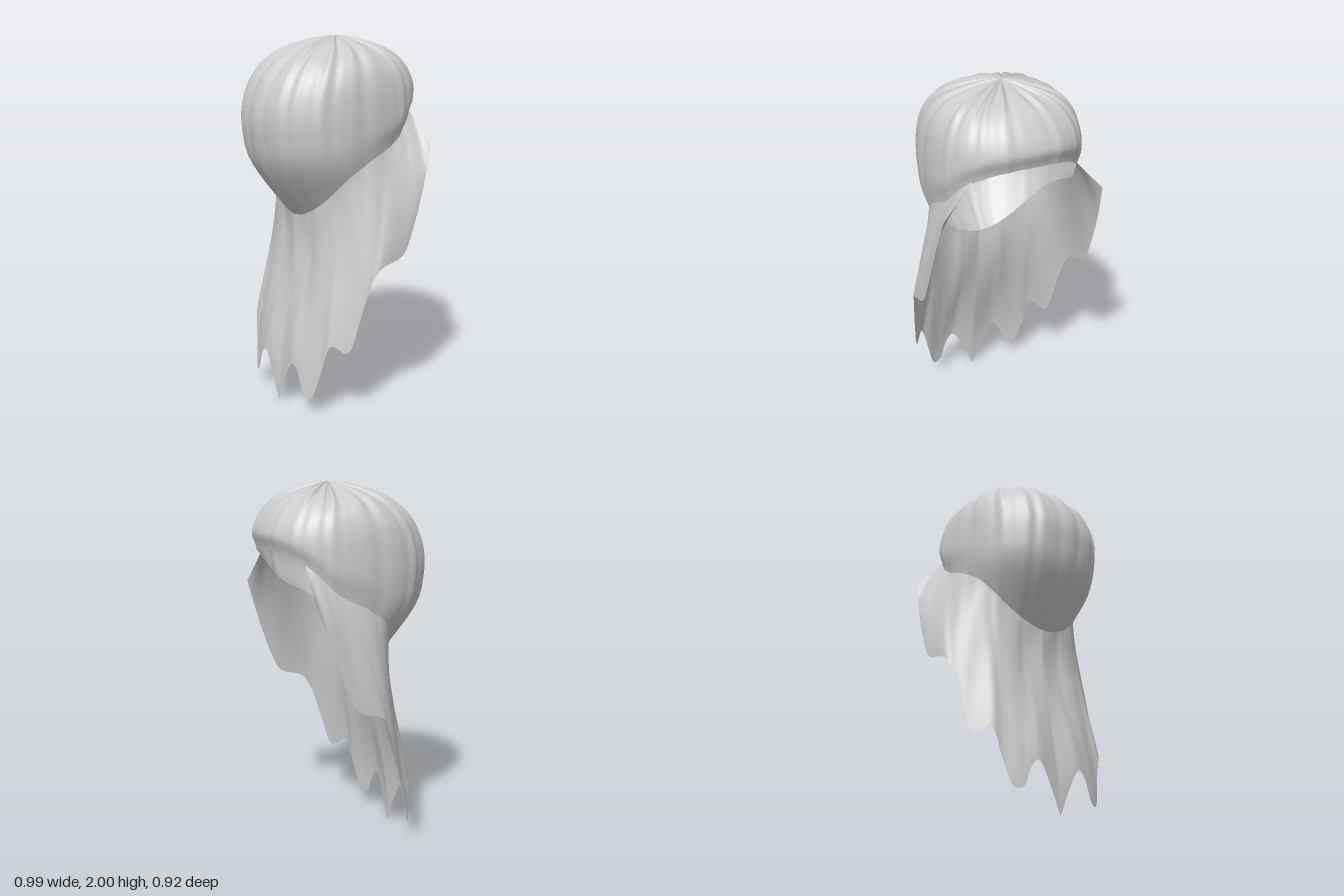
import * as THREE from 'three';
import { mergeVertices } from 'three/addons/utils/BufferGeometryUtils.js';

// Smooth lookup through a few key values
const spline = (keys, values) => {
  const s = new THREE.CubicInterpolant(new Float32Array(keys), new Float32Array(values), 1, new Float32Array(1));
  return (t) => s.evaluate(t)[0];
};

// Hood radii against s, where height = 2 - s * s
const S = [0, 0.14, 0.26, 0.39, 0.5, 0.63, 0.71, 0.81, 0.89, 0.98, 1.05];
const frontRadius = spline(S, [0, 0.16, 0.295, 0.41, 0.48, 0.525, 0.52, 0.485, 0.405, 0.27, 0.16]);
const sideRadius = spline(S, [0, 0.13, 0.265, 0.345, 0.38, 0.395, 0.395, 0.38, 0.34, 0.27, 0.2]);
const backRadius = spline(S, [0, 0.12, 0.24, 0.335, 0.385, 0.385, 0.38, 0.36, 0.32, 0.26, 0.2]);
// Height of the slanted opening against z
const rimHeight = spline([-0.6, -0.45, -0.35, -0.2, 0, 0.13, 0.2, 0.3], [1.72, 1.66, 1.59, 1.445, 1.335, 1.2, 0.98, 0.6]);
const CROWN_Z = -0.07;

const { lerp, smoothstep: smooth } = THREE.MathUtils;
const power = (a, e) => Math.sign(a) * Math.abs(a) ** e;

// Boxy cross-section that turns elliptical toward the chin
function hoodSurface(theta, s) {
  const c = Math.cos(theta);
  const e = lerp(0.8, 1.12, smooth(s, 0.75, 0.98));
  const depth = c > 0 ? frontRadius(s) : backRadius(s);
  return new THREE.Vector3(sideRadius(s) * power(Math.sin(theta), e), 2 - s * s, CROWN_Z + depth * power(c, e));
}

// Where a meridian of the hood meets the opening
function rimParameter(theta) {
  let lo = 0.3, hi = 1.05;
  for (let i = 0; i < 18; i++) {
    const mid = (lo + hi) / 2;
    const p = hoodSurface(theta, mid);
    if (p.y > rimHeight(p.z)) lo = mid; else hi = mid;
  }
  return lo;
}

// Pleated hood point, v = 0 at the crown and 1 at the opening
function hoodPoint(theta, v) {
  const p = hoodSurface(theta, rimParameter(theta) * v);
  const pleat = 0.65 * Math.cos(20 * theta) + 0.35 * Math.cos(33 * theta);
  const depth = 0.016 * smooth(v, 0, 0.3) * (1 - 0.6 * smooth(v, 0.45, 0.95));
  const curl = 0.06 * smooth(v, 0.87, 1) * smooth(-Math.cos(theta), -0.6, 0.3);
  const scale = 1 + depth * (pleat - 0.2) - curl;
  p.x *= scale;
  p.z = CROWN_Z + (p.z - CROWN_Z) * scale;
  p.y -= 0.009 * (1 - pleat) * Math.sin(Math.PI * Math.min(1, v * 1.8));
  return p;
}

// Scalloped hem from the front centre round to the rear corner
const hem = new THREE.CatmullRomCurve3([
  [0, 0, 0.325], [0.07, 0.16, 0.325], [0.135, 0.26, 0.325], [0.18, 0.22, 0.32],
  [0.225, 0.11, 0.315], [0.27, 0.1, 0.3], [0.32, 0.25, 0.265], [0.37, 0.41, 0.235],
  [0.425, 0.37, 0.17], [0.455, 0.55, 0.11], [0.475, 0.74, 0.05], [0.492, 0.82, 0],
  [0.494, 0.87, -0.14], [0.488, 1.0, -0.21], [0.475, 1.22, -0.29], [0.45, 1.43, -0.358],
].map((p) => new THREE.Vector3(...p)));

function capePoint(u, v) {
  const a = Math.abs(u);
  const top = hoodPoint(a * THREE.MathUtils.degToRad(134), 0.985);
  const end = hem.getPoint(a);
  // flanks flare out below the opening, the rear edge stays straight
  const flare = 1 + 0.9 * smooth(a, 0.45, 0.78) * (1 - smooth(a, 0.87, 1));
  const p = new THREE.Vector3(
    lerp(top.x, end.x, 1 - (1 - v) ** flare),
    lerp(top.y, end.y, v),
    lerp(top.z, end.z, lerp(smooth(v, 0.1, 1), v, smooth(a, 0.2, 0.7))),
  );
  // hanging folds, with the valleys set back
  const wave = Math.cos((a * Math.PI * 2) / 0.31) - 1;
  const fold = 0.012 * wave * Math.sin(Math.PI * v ** 0.8) * (1 - smooth(a, 0.6, 0.85));
  const turn = a * 1.9;
  p.x += fold * Math.sin(turn);
  p.z += fold * Math.cos(turn);
  if (u < 0) p.x = -p.x;
  return p;
}

// Grid surface from a rule, u across and v downward
function sheet(point, nu, nv) {
  const positions = [], index = [];
  for (let j = 0; j <= nv; j++) {
    for (let i = 0; i <= nu; i++) positions.push(...point((i / nu) * 2 - 1, j / nv).toArray());
  }
  for (let j = 0; j < nv; j++) {
    for (let i = 0; i < nu; i++) {
      const a = j * (nu + 1) + i, c = a + nu + 1;
      index.push(a, c, a + 1, a + 1, c, c + 1);
    }
  }
  const g = new THREE.BufferGeometry();
  g.setAttribute('position', new THREE.Float32BufferAttribute(positions, 3));
  g.setIndex(index);
  const welded = mergeVertices(g, 1e-5);
  welded.computeVertexNormals();
  return welded;
}

export function createModel() {
  const cloth = new THREE.MeshStandardMaterial({ color: 0xcccccc, side: THREE.DoubleSide });
  cloth.name = 'greyCloth';

  const group = new THREE.Group();
  group.name = 'pleatedHoodWithCape';

  // Gathered hood, open toward the lower back
  const hood = new THREE.Mesh(sheet((u, v) => hoodPoint(u * Math.PI, v), 200, 32), cloth);
  hood.name = 'hood';

  // Draped cape hanging from the opening
  const cape = new THREE.Mesh(sheet(capePoint, 120, 28), cloth);
  cape.name = 'cape';

  group.add(hood, cape);
  return group;
}
